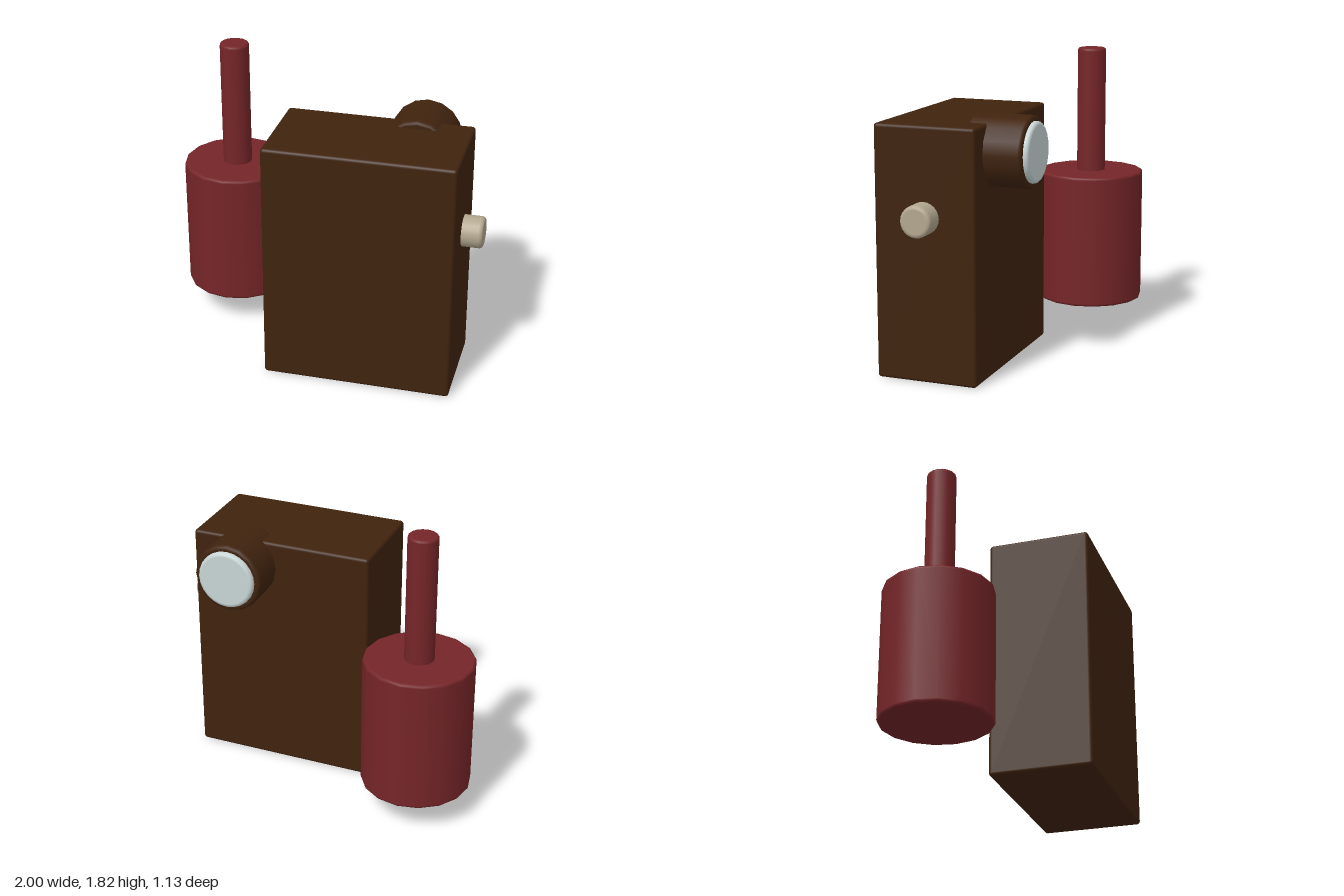
import * as THREE from 'three';
import { RoundedBoxGeometry } from 'three/addons/geometries/RoundedBoxGeometry.js';

const material = (name, color) => {
  const m = new THREE.MeshStandardMaterial({ color });
  m.name = name;
  return m;
};

// Upright cylinder from y = 0 to y = height, with softly rounded rims
function roundedCylinder(radius, height, sides, bevel) {
  const arc = [];
  for (let i = 0; i <= 3; i++) {
    const a = (i / 3) * Math.PI / 2;
    arc.push([radius - bevel + bevel * Math.sin(a), bevel - bevel * Math.cos(a)]);
  }
  // Extra rings beside each bevel keep the cap and wall shading flat
  const half = [[0, 0], [radius - bevel - 0.003, 0], ...arc, [radius, bevel + 0.003]];
  const mirrored = half.map(([r, y]) => [r, height - y]).reverse();
  const points = [...half, ...mirrored].map(([r, y]) => new THREE.Vector2(r, y));
  return new THREE.LatheGeometry(points, sides);
}

export function createModel() {
  const brown = material('dark brown', 0x40230e);
  const red = material('dark red', 0x752528);
  const beige = material('beige', 0xb2a78f);
  const pale = material('pale glass', 0xc8d4d4);

  const model = new THREE.Group();
  model.name = 'model';
  const add = (name, geometry, mat, x, y, z) => {
    const mesh = new THREE.Mesh(geometry, mat);
    mesh.name = name;
    mesh.position.set(x, y, z);
    model.add(mesh);
    return mesh;
  };

  // Main case
  add('case', new RoundedBoxGeometry(1.145, 1.51, 0.625, 3, 0.02), brown, 0.3025, 0.755, 0.2525);

  // Lens barrel and glass, pointing backwards
  const barrel = add('lensBarrel', roundedCylinder(0.215, 0.36, 16, 0.02), brown, 0.545, 1.34, 0.07);
  const glass = add('lensGlass', roundedCylinder(0.18, 0.06, 24, 0.02), pale, 0.545, 1.34, -0.26);
  barrel.rotation.x = glass.rotation.x = -Math.PI / 2;

  // Side knob
  const knob = add('sideKnob', roundedCylinder(0.095, 0.145, 24, 0.02), beige, 0.855, 0.98, 0.255);
  knob.rotation.z = -Math.PI / 2;

  // Separate canister with its rod
  add('canister', roundedCylinder(0.335, 0.84, 16, 0.015), red, -0.665, 0.19, -0.235);
  add('canisterRod', roundedCylinder(0.09, 0.81, 16, 0.015), red, -0.665, 1.01, -0.235);

  return model;
}
